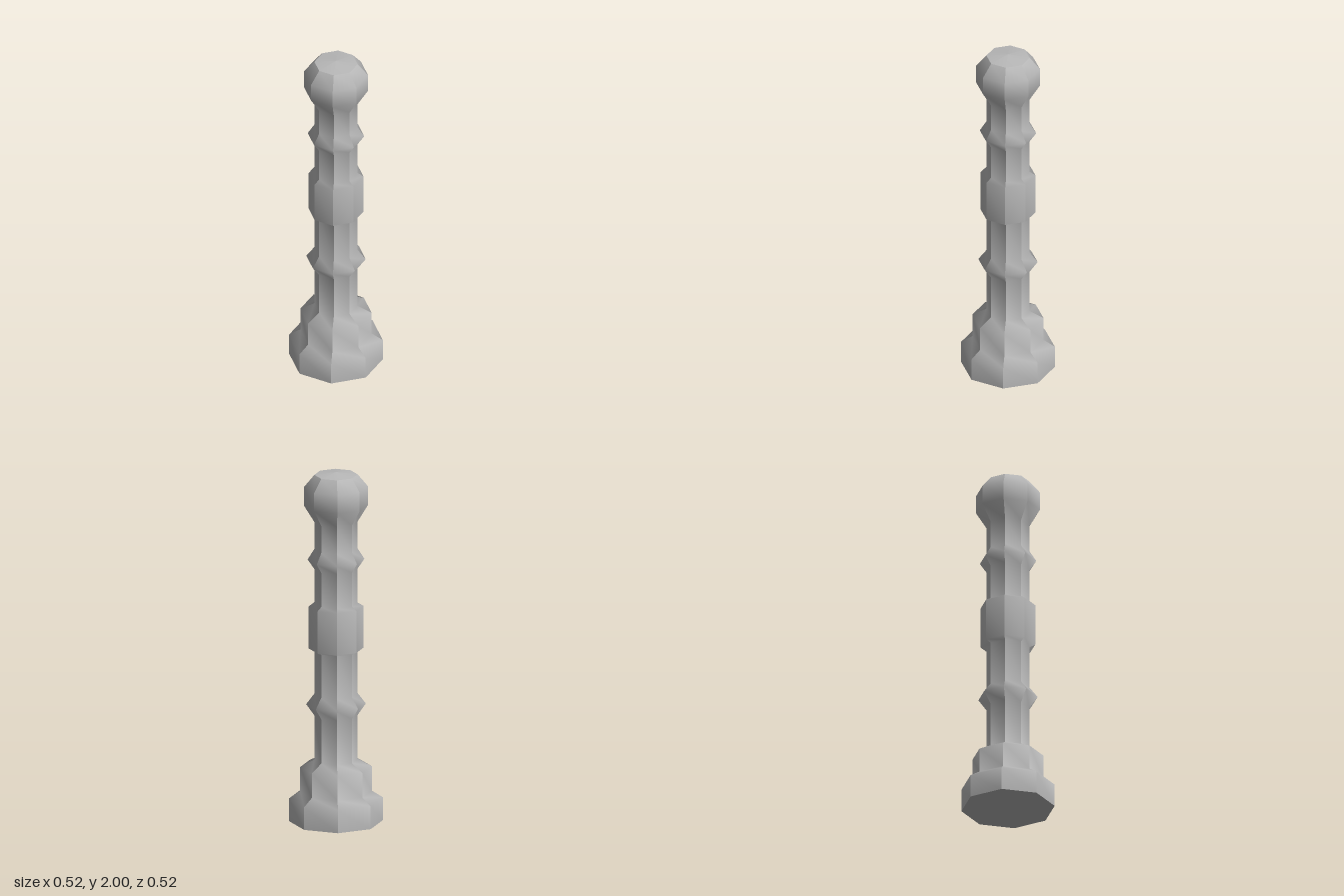
import * as THREE from 'three';

const SIDES = 8;

export function createModel() {
  const model = new THREE.Group();
  model.name = 'turnedPost';
  const stone = new THREE.MeshStandardMaterial({ color: 0xb8b8b8 });
  stone.name = 'stone grey';

  // Radius and height from the foot up to the rim of the knob
  const profile = [
    [0.26, 0], [0.26, 0.13], [0.198, 0.17],                // plinth
    [0.198, 0.31], [0.12, 0.352],                          // upper step
    [0.12, 0.605], [0.165, 0.67], [0.12, 0.73],            // lower bead
    [0.12, 0.975], [0.152, 0.99], [0.152, 1.23], [0.12, 1.25], // collar
    [0.12, 1.445], [0.157, 1.5], [0.12, 1.56],             // upper bead
    [0.12, 1.715], [0.178, 1.81], [0.178, 1.915], [0.12, 1.985], // knob
  ].map(([r, y]) => new THREE.Vector2(r, y));

  // One strip per side: smooth along the profile, sharp between sides
  const shaft = new THREE.Group();
  shaft.name = 'shaft';
  const step = (Math.PI * 2) / SIDES;
  for (let i = 0; i < SIDES; i++) {
    const strip = new THREE.LatheGeometry(profile, 1, i * step, step);
    strip.computeVertexNormals();
    const side = new THREE.Mesh(strip, stone);
    side.name = `shaftSide${i + 1}`;
    shaft.add(side);
  }
  model.add(shaft);

  // Shallow point closing the knob
  const cap = new THREE.Mesh(
    new THREE.ConeGeometry(0.12, 0.015, SIDES, 1, true), stone);
  cap.name = 'knobCap';
  cap.position.y = 1.9925;
  model.add(cap);

  // Underside of the plinth
  const foot = new THREE.Mesh(new THREE.CircleGeometry(0.26, SIDES), stone);
  foot.name = 'foot';
  foot.rotation.x = Math.PI / 2;
  model.add(foot);

  return model;
}
